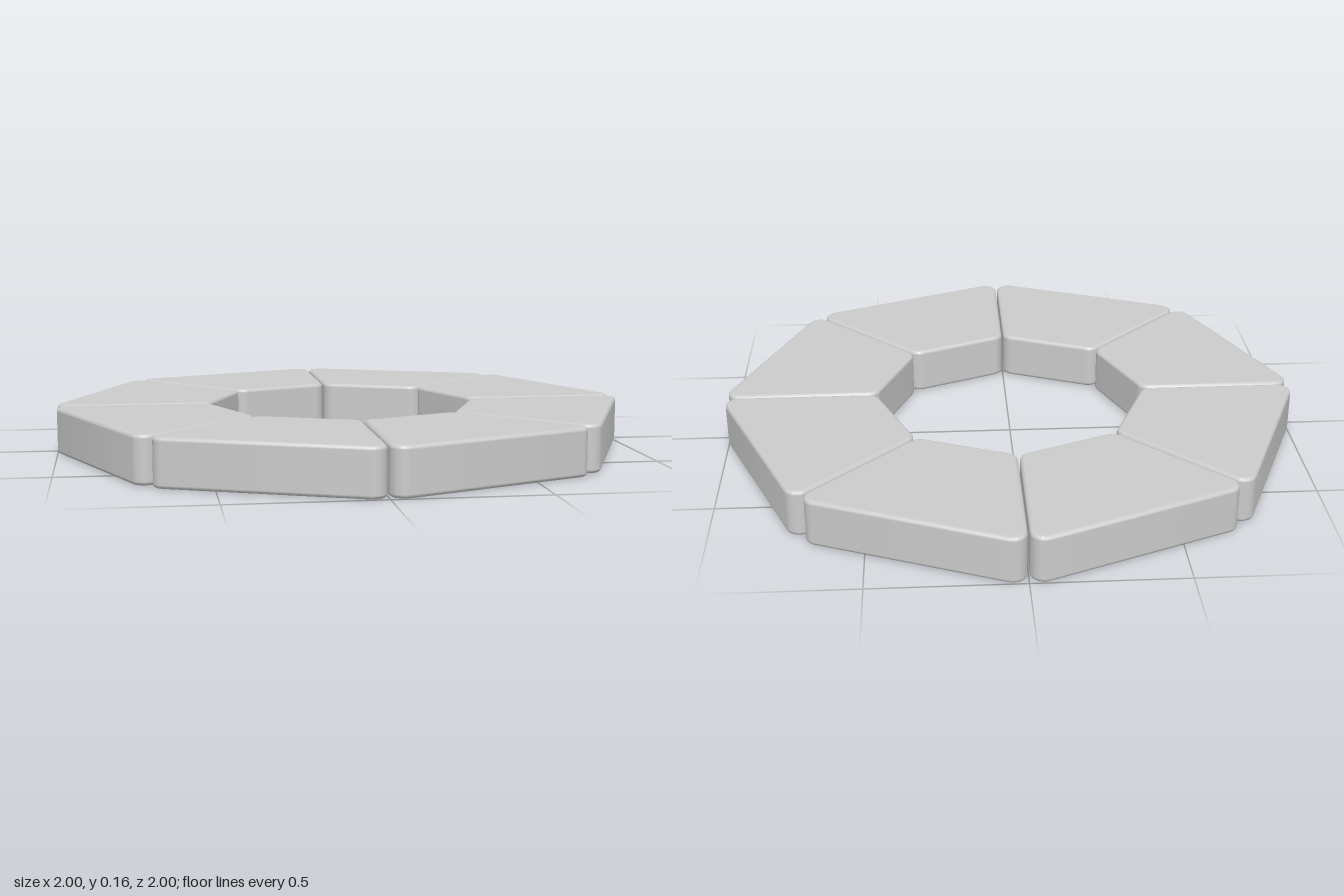
import * as THREE from 'three';
import { toCreasedNormals } from 'three/addons/utils/BufferGeometryUtils.js';

const COUNT = 8, HALF = Math.PI / COUNT;
const OUTER = 1.0236, INNER = 0.475;   // corner radii of the two octagons
const GAP = 0.003, HEIGHT = 0.16, FILLET = 0.045, BEVEL = 0.012;

// Convex counter-clockwise polygon with true arcs at its corners
function roundedPolygon(points, r) {
  const shape = new THREE.Shape();
  points.forEach((p, i) => {
    const n = points.length;
    const u = points[(i + n - 1) % n].clone().sub(p).normalize();
    const v = points[(i + 1) % n].clone().sub(p).normalize();
    const half = Math.acos(u.dot(v)) / 2;
    const c = u.clone().add(v).normalize().multiplyScalar(r / Math.sin(half)).add(p);
    const d = r / Math.tan(half);
    const a = u.multiplyScalar(d).add(p).sub(c);
    const b = v.multiplyScalar(d).add(p).sub(c);
    shape.absarc(c.x, c.y, r, Math.atan2(a.y, a.x), Math.atan2(b.y, b.x), false);
  });
  shape.closePath();
  return shape;
}

// Smooth the rounded edges, keep caps and walls flat
function softNormals(geometry) {
  const g = toCreasedNormals(geometry, 0.6);
  const pos = g.attributes.position, nor = g.attributes.normal;
  const [a, b, c, n] = [0, 1, 2, 3].map(() => new THREE.Vector3());
  for (let i = 0; i < pos.count; i += 3) {
    a.fromBufferAttribute(pos, i);
    b.fromBufferAttribute(pos, i + 1).sub(a);
    c.fromBufferAttribute(pos, i + 2).sub(a);
    const face = b.cross(c).normalize();
    for (let k = i; k < i + 3; k++) {
      n.fromBufferAttribute(nor, k);
      if (Math.abs(face.y) > 0.999) n.copy(face);
      else if (Math.abs(face.y) < 0.001) n.setY(0).normalize();
      nor.setXYZ(k, n.x, n.y, n.z);
    }
  }
  return g;
}

function wedgeGeometry() {
  const corner = (radius, side) => {
    const x = radius * Math.cos(HALF);
    return new THREE.Vector2(x, side * (x * Math.tan(HALF) - GAP / Math.cos(HALF)));
  };
  const outline = roundedPolygon(
    [corner(INNER, -1), corner(OUTER, -1), corner(OUTER, 1), corner(INNER, 1)], FILLET);
  const g = new THREE.ExtrudeGeometry(outline, {
    depth: HEIGHT - 2 * BEVEL, curveSegments: 10,
    bevelEnabled: true, bevelThickness: BEVEL, bevelSize: BEVEL,
    bevelOffset: -BEVEL, bevelSegments: 4,
  });
  g.translate(0, 0, BEVEL);
  g.rotateX(-Math.PI / 2);
  return softNormals(g);
}

export function createModel() {
  const model = new THREE.Group();
  model.name = 'segmentedRing';
  const material = new THREE.MeshStandardMaterial({ color: 0xcccccc });
  const geometry = wedgeGeometry();

  // Eight identical wedges around the centre
  for (let i = 0; i < COUNT; i++) {
    const wedge = new THREE.Mesh(geometry, material);
    wedge.name = `wedge${i + 1}`;
    wedge.rotation.y = (2 * i + 1) * HALF;
    model.add(wedge);
  }
  return model;
}
